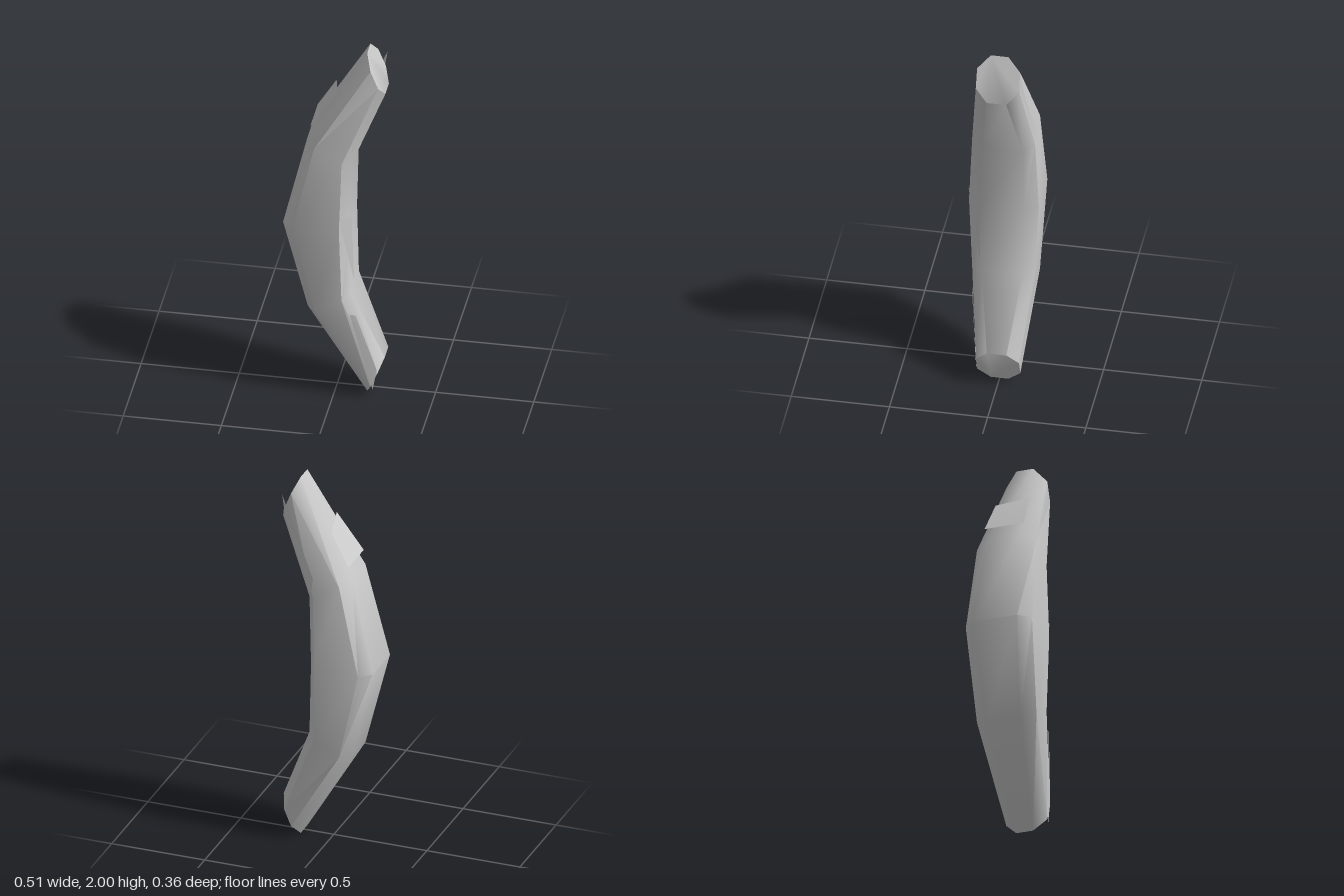
import * as THREE from 'three';
import { toCreasedNormals } from 'three/addons/utils/BufferGeometryUtils.js';

// Eight-sided section between the outer and inner edge of the curve.
// w: half width, a/b: half width of outer/inner face, s/t: where the sides begin and end
function section({ outer, inner, w, a, b, s, t }) {
  const at = (u, z) => [
    outer[0] + (inner[0] - outer[0]) * u,
    outer[1] + (inner[1] - outer[1]) * u,
    z,
  ];
  return [at(0, a), at(s, w), at(t, w), at(1, b), at(1, -b), at(t, -w), at(s, -w), at(0, -a)];
}

// Skin over a list of sections, closed at both ends
function loft(rings) {
  const n = rings[0].length, index = [];
  for (let j = 0; j < rings.length - 1; j++) {
    for (let i = 0; i < n; i++) {
      const a = j * n + i, b = j * n + (i + 1) % n;
      index.push(a, b, b + n, a, b + n, a + n);
    }
  }
  const top = (rings.length - 1) * n;
  for (let i = 1; i < n - 1; i++) {
    index.push(0, i + 1, i, top, top + i, top + i + 1);
  }
  const geometry = new THREE.BufferGeometry();
  geometry.setAttribute('position', new THREE.Float32BufferAttribute(rings.flat(2), 3));
  geometry.setIndex(index);
  return toCreasedNormals(geometry, 0.85);
}

// Thin open sheet through three or four corners
function sheet(corners) {
  const geometry = new THREE.BufferGeometry();
  geometry.setAttribute('position', new THREE.Float32BufferAttribute(corners.flat(), 3));
  geometry.setIndex(corners.length === 4 ? [0, 1, 2, 0, 2, 3] : [0, 1, 2]);
  geometry.computeVertexNormals();
  return geometry;
}

export function createModel() {
  const group = new THREE.Group();
  const solid = new THREE.MeshStandardMaterial({ color: 0xcccccc });
  const thin = new THREE.MeshStandardMaterial({ color: 0xcccccc, side: THREE.DoubleSide });
  const add = (name, geometry, material) => {
    const mesh = new THREE.Mesh(geometry, material);
    mesh.name = name;
    group.add(mesh);
  };

  // Curved body: lower tip, lower bend, middle, upper bend, upper tip
  const tip = { w: 0.11, a: 0.045, b: 0.05, s: 0.3, t: 0.72 };
  const bend = { w: 0.16, a: 0.09, b: 0.105, s: 0.2, t: 0.82 };
  add('curvedBody', loft([
    { outer: [0.16, 0], inner: [0.25, 0.21], ...tip },
    { outer: [-0.135, 0.5], inner: [0.09, 0.61], ...bend },
    { outer: [-0.255, 1], inner: [0.08, 1], w: 0.178, a: 0.12, b: 0.11, s: 0.17, t: 0.88 },
    { outer: [-0.135, 1.5], inner: [0.09, 1.37], ...bend },
    { outer: [0.16, 2], inner: [0.253, 1.77], ...tip },
  ].map(section)), solid);

  // Loose flakes lying just off the surface
  const flakes = {
    outerFlake: [[-0.12, 1.57, 0.105], [-0.12, 1.57, -0.108], [-0.02, 1.74, -0.087], [0.015, 1.77, 0.08]],
    innerFlake: [[0.04, 1.07, 0.18], [0.105, 0.69, 0.11], [0.095, 1.07, 0.12]],
    lowerFrontFlake: [[0.09, 0.51, 0.155], [0.2, 0.05, 0.11], [0.22, 0.17, 0.113], [0.12, 0.5, 0.145]],
    upperBackFlake: [[0.05, 1.5, -0.162], [0.235, 1.92, -0.112], [0.22, 1.82, -0.114], [0.06, 1.4, -0.163]],
  };
  for (const [name, corners] of Object.entries(flakes)) add(name, sheet(corners), thin);

  return group;
}
